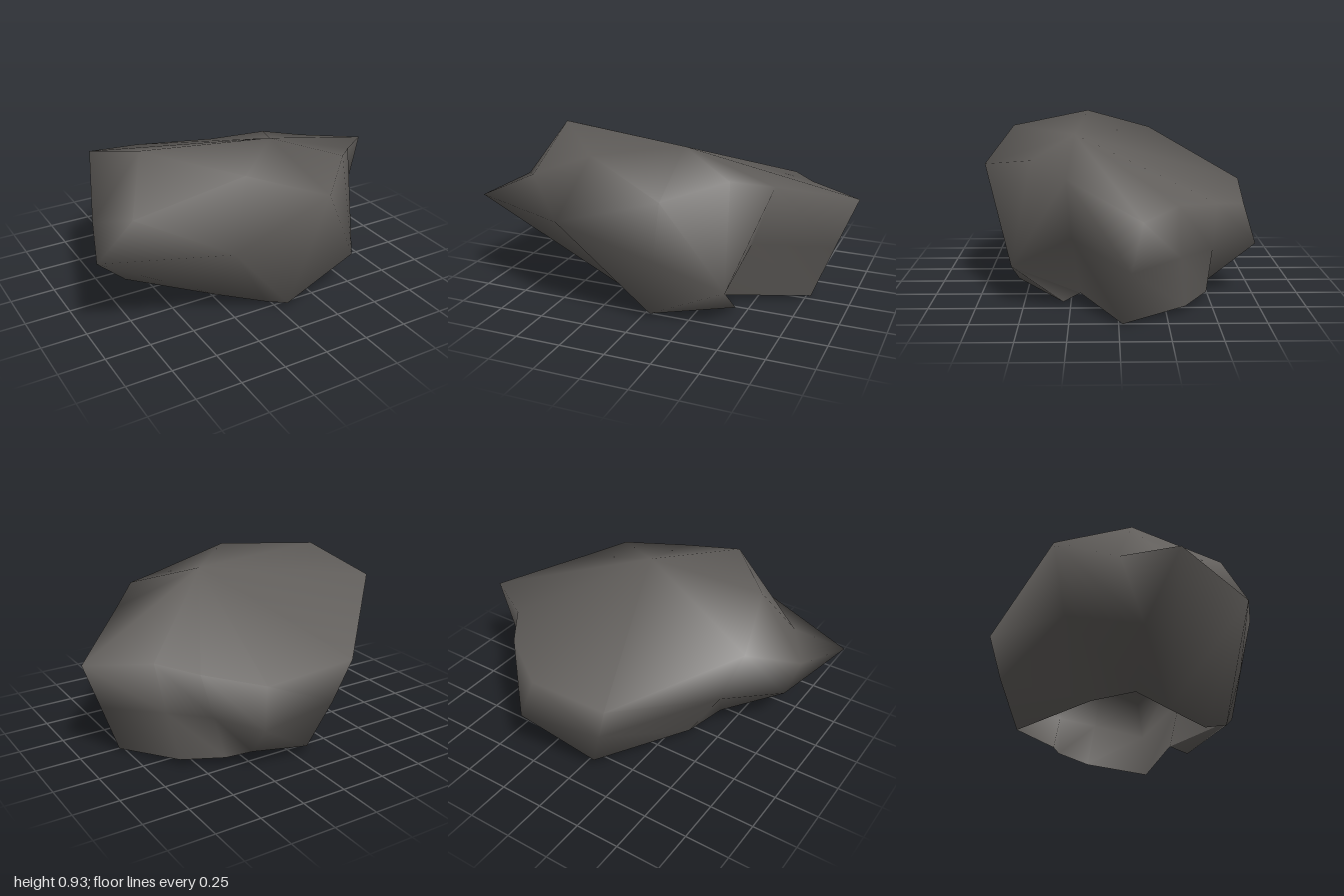
import * as THREE from 'three';

// The two high points joined by the crest
const PEAK = [-0.62, 0.93, 0.17];
const CREST = [0.12, 0.872, 0.23];
const HUBS = [PEAK, CREST];

// Sectors running round the boulder: [open base, waist, rim]
const SECTORS = [
  [[0.78, 0.01, -0.02], [0.89, 0.3, -0.06], [1.0, 0.58, -0.11]],
  [[0.35, 0.035, 0.2], [0.51, 0.38, 0.24], [0.63, 0.715, 0.26]],
  [[0.44, 0.015, 0.29], [0.47, 0.22, 0.56], [0.45, 0.78, 0.45]],
  [[0.05, 0.03, 0.56], [0.11, 0.37, 0.65], [0.18, 0.72, 0.72]],
  [[-0.02, 0.0, 0.45], [-0.39, 0.55, 0.745], [-0.25, 0.88, 0.6]],
  [[-0.25, 0.03, 0.29], [-1.0, 0.54, 0.48], [-0.75, 0.65, 0.35]],
  [[-0.43, 0.065, 0.15], [-0.77, 0.27, 0.26], [-0.89, 0.59, 0.16]],
  [[-0.37, 0.06, -0.1], [-0.6, 0.45, -0.19], [-0.74, 0.81, -0.22]],
  [[-0.06, 0.05, -0.6], [-0.16, 0.32, -0.68], [-0.24, 0.56, -0.73]],
  [[0.2, 0.025, -0.46], [0.31, 0.3, -0.75], [0.26, 0.51, -0.69]],
  [[0.38, 0.05, -0.48], [0.46, 0.31, -0.5], [0.54, 0.57, -0.51]],
  [[0.58, 0.035, -0.35], [0.64, 0.31, -0.32], [0.69, 0.59, -0.3]],
];
const ROWS = 3;

// Quads split along the other diagonal, as sector:row
const FLIPPED = new Set(['1:1', '2:0', '3:1', '4:0']);

// Sectors 5 to 7 rise to the peak, the others to the crest
const hubOf = (i) => SECTORS.length * ROWS + (i >= 5 && i <= 7 ? 0 : 1);

// Joins the sectors with quads and closes the top on the hubs; the base stays open
function boulderGeometry() {
  const index = [];
  SECTORS.forEach((sector, i) => {
    const next = (i + 1) % SECTORS.length;
    const a = i * ROWS;
    const b = next * ROWS;
    for (let k = 0; k < ROWS - 1; k++) {
      if (FLIPPED.has(`${i}:${k}`)) {
        index.push(a + k, a + k + 1, b + k, a + k + 1, b + k + 1, b + k);
      } else {
        index.push(a + k, a + k + 1, b + k + 1, a + k, b + k + 1, b + k);
      }
    }
    const rim = ROWS - 1;
    index.push(a + rim, hubOf(next), b + rim);
    if (hubOf(i) !== hubOf(next)) index.push(a + rim, hubOf(i), hubOf(next));
  });
  const geometry = new THREE.BufferGeometry();
  const positions = [...SECTORS.flat(2), ...HUBS.flat()];
  geometry.setAttribute('position', new THREE.Float32BufferAttribute(positions, 3));
  geometry.setIndex(index);
  geometry.computeVertexNormals();
  return geometry;
}

export function createModel() {
  const stone = new THREE.MeshStandardMaterial({ color: 0x625f5c, side: THREE.DoubleSide });
  stone.name = 'dark stone';

  const boulder = new THREE.Mesh(boulderGeometry(), stone);
  boulder.name = 'boulderShell';

  const model = new THREE.Group();
  model.name = 'rock';
  model.add(boulder);
  return model;
}
